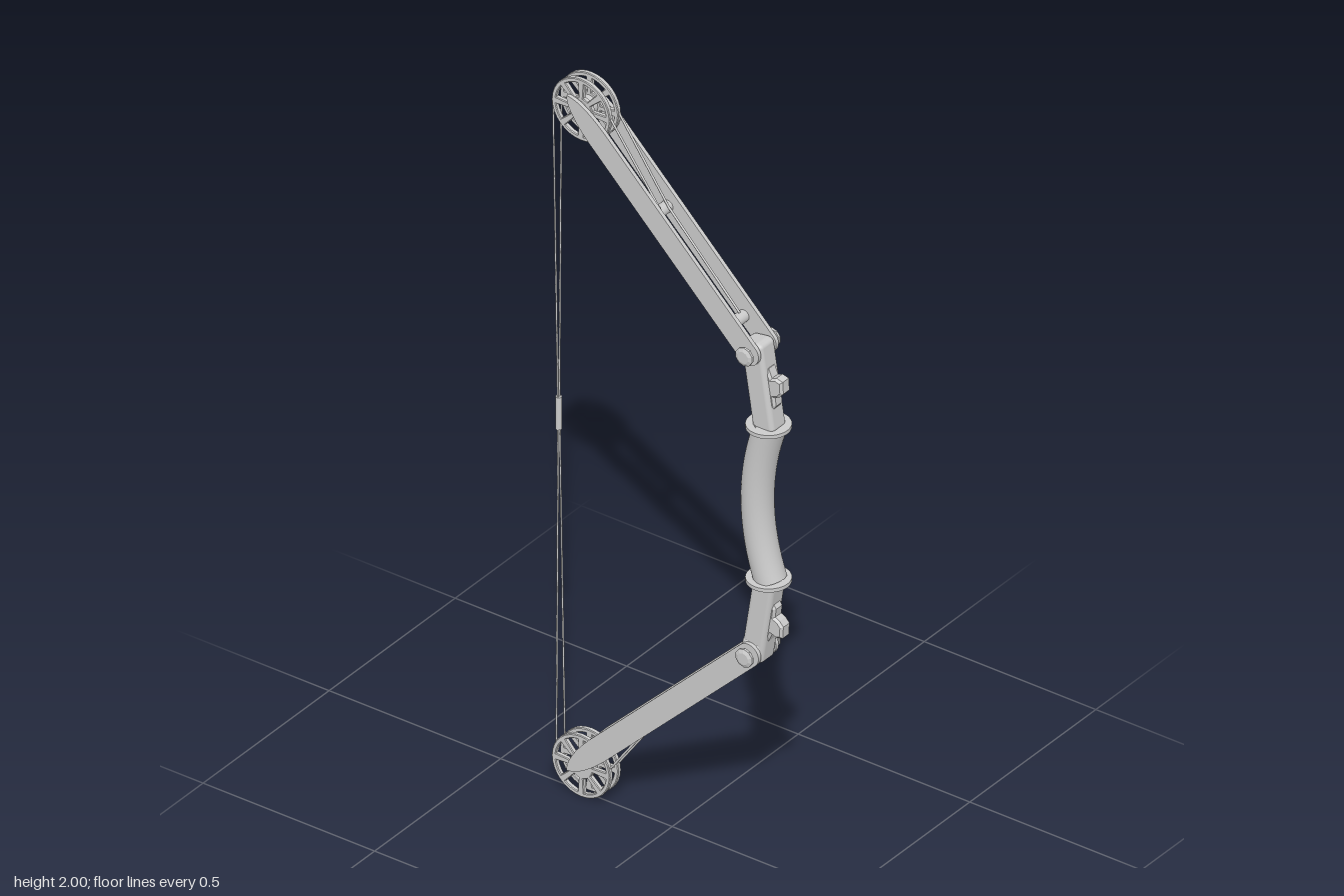
import * as THREE from 'three';
import { RoundedBoxGeometry } from 'three/addons/geometries/RoundedBoxGeometry.js';

const mat = new THREE.MeshStandardMaterial({ color: 0xcccccc });
const V = (x, y, z = 0) => new THREE.Vector3(x, y, z);

function add(parent, name, geo, x = 0, y = 0, z = 0) {
  const m = new THREE.Mesh(geo, mat);
  m.name = name;
  m.position.set(x, y, z);
  parent.add(m);
  return m;
}

// cylinder lying along z
const pin = (r, len, seg = 20) => new THREE.CylinderGeometry(r, r, len, seg).rotateX(Math.PI / 2);

// centred extrusion along z
function slab(shape, depth, bevel = 0) {
  return new THREE.ExtrudeGeometry(shape, {
    depth: depth - 2 * bevel, bevelEnabled: bevel > 0, bevelSize: bevel,
    bevelThickness: bevel, bevelOffset: -bevel, bevelSegments: 1, curveSegments: 16,
  }).translate(0, 0, -depth / 2 + bevel);
}

// cord made of straight runs
function cord(parent, name, points, r = 0.0025) {
  const path = new THREE.CurvePath();
  for (let i = 1; i < points.length; i++) path.add(new THREE.LineCurve3(points[i - 1], points[i]));
  add(parent, name, new THREE.TubeGeometry(path, 24, r, 6));
}

// spoked cam wheel disc
function wheelGeometry() {
  const s = new THREE.Shape().absarc(0, 0, 0.085, 0, Math.PI * 2);
  for (let i = 0; i < 8; i++) {
    const a = (i + 0.5) * Math.PI / 4, h = new THREE.Path();
    h.absarc(0, 0, 0.073, a - 0.27, a + 0.27, false);
    h.absarc(0, 0, 0.034, a + 0.2, a - 0.2, true);
    h.closePath();
    s.holes.push(h);
  }
  return slab(s, 0.013, 0.002);
}

// upper half, y measured from the grip centre
function createHalf() {
  const g = new THREE.Group();

  // limb plates: outline runs along +x from the pivot to the tapered tip
  const limb = new THREE.Shape();
  limb.moveTo(0, -0.031);
  limb.lineTo(0.62, -0.031);
  limb.quadraticCurveTo(0.715, -0.028, 0.742, 0);
  limb.quadraticCurveTo(0.715, 0.028, 0.62, 0.031);
  limb.lineTo(0, 0.031);
  limb.absarc(0, 0, 0.031, Math.PI / 2, Math.PI * 1.5, false);
  const angle = Math.atan2(0.492, -0.5);
  for (const z of [-0.035, 0.035]) {
    add(g, 'limbPlate', slab(limb, 0.0105), 0.25, 0.42, z).rotation.z = angle;
  }

  // spacers between the plates
  for (const [x, y] of [[-0.25, 0.912], [-0.035, 0.69], [0.187, 0.468]]) {
    add(g, 'limbSpacer', pin(0.0155, 0.062), x, y);
  }

  // pivot bolt with rounded knobs
  add(g, 'pivotBolt', pin(0.013, 0.1), 0.25, 0.42);
  const profile = [[0, -0.0075], [0.016, -0.0075], [0.025, -0.003], [0.025, 0.003], [0.016, 0.0075], [0, 0.0075]]
    .map(([r, h]) => new THREE.Vector2(r, h));
  for (const z of [-0.0535, 0.0535]) {
    const k = new THREE.LatheGeometry(profile, 10).rotateX(Math.PI / 2).toNonIndexed();
    k.computeVertexNormals();
    add(g, 'pivotKnob', k, 0.25, 0.42, z);
  }

  // riser arm leaning from the grip to the pivot
  add(g, 'riserArm', new RoundedBoxGeometry(0.062, 0.236, 0.058, 3, 0.012), 0.266, 0.324).rotation.z = 0.155;
  add(g, 'riserHead', new RoundedBoxGeometry(0.062, 0.06, 0.064, 3, 0.016), 0.25, 0.413).rotation.z = 0.155;

  // stepped bracket on the outer face of the riser
  const b = new THREE.Shape([
    [0.27, 0.385], [0.29, 0.38], [0.3, 0.357], [0.313, 0.362], [0.331, 0.357], [0.333, 0.325],
    [0.322, 0.312], [0.309, 0.306], [0.312, 0.283], [0.302, 0.268], [0.28, 0.272],
  ].map(([x, y]) => new THREE.Vector2(x, y)));
  add(g, 'riserBracket', slab(b, 0.036, 0.006));

  // flange at the end of the grip
  add(g, 'gripFlange', new THREE.CylinderGeometry(0.055, 0.055, 0.01, 40), 0.281, 0.214);

  // cables from the wheel over the middle spacer to the inner spacer
  for (const s of [-1, 1]) {
    cord(g, 'limbCable', [V(-0.167, 0.905, s * 0.0165), V(-0.021, 0.7, s * 0.014), V(0.187, 0.484, s * 0.013)], 0.003);
  }
  return g;
}

export function createModel() {
  const root = new THREE.Group();
  root.name = 'bow';
  const midY = 1.013;

  for (const [name, turn] of [['upperHalf', 0], ['lowerHalf', Math.PI]]) {
    const half = createHalf();
    half.name = name;
    half.position.y = midY;
    half.rotation.x = turn;
    root.add(half);
  }

  // curved grip
  const curve = new THREE.QuadraticBezierCurve3(V(0.287, midY - 0.214), V(0.211, midY), V(0.287, midY + 0.214));
  add(root, 'grip', new THREE.TubeGeometry(curve, 32, 0.04, 28));

  // cam wheels with hubs
  for (const y of [0.085, 1.915]) {
    for (const z of [-0.0165, 0.0165]) add(root, 'camWheel', wheelGeometry(), -0.25, y, z);
    add(root, 'camHub', pin(0.026, 0.046), -0.25, y);
  }

  // bowstrings, drawn together at the serving
  for (const s of [-1, 1]) {
    cord(root, 'bowstring', [V(-0.335, 1.915, s * 0.0165), V(-0.331, 1.075, s * 0.003),
      V(-0.33, 0.985, s * 0.003), V(-0.325, 0.12, s * 0.0165)]);
  }
  add(root, 'stringServing', new THREE.CylinderGeometry(0.008, 0.008, 0.09, 14), -0.3305, 1.03);

  return root;
}
